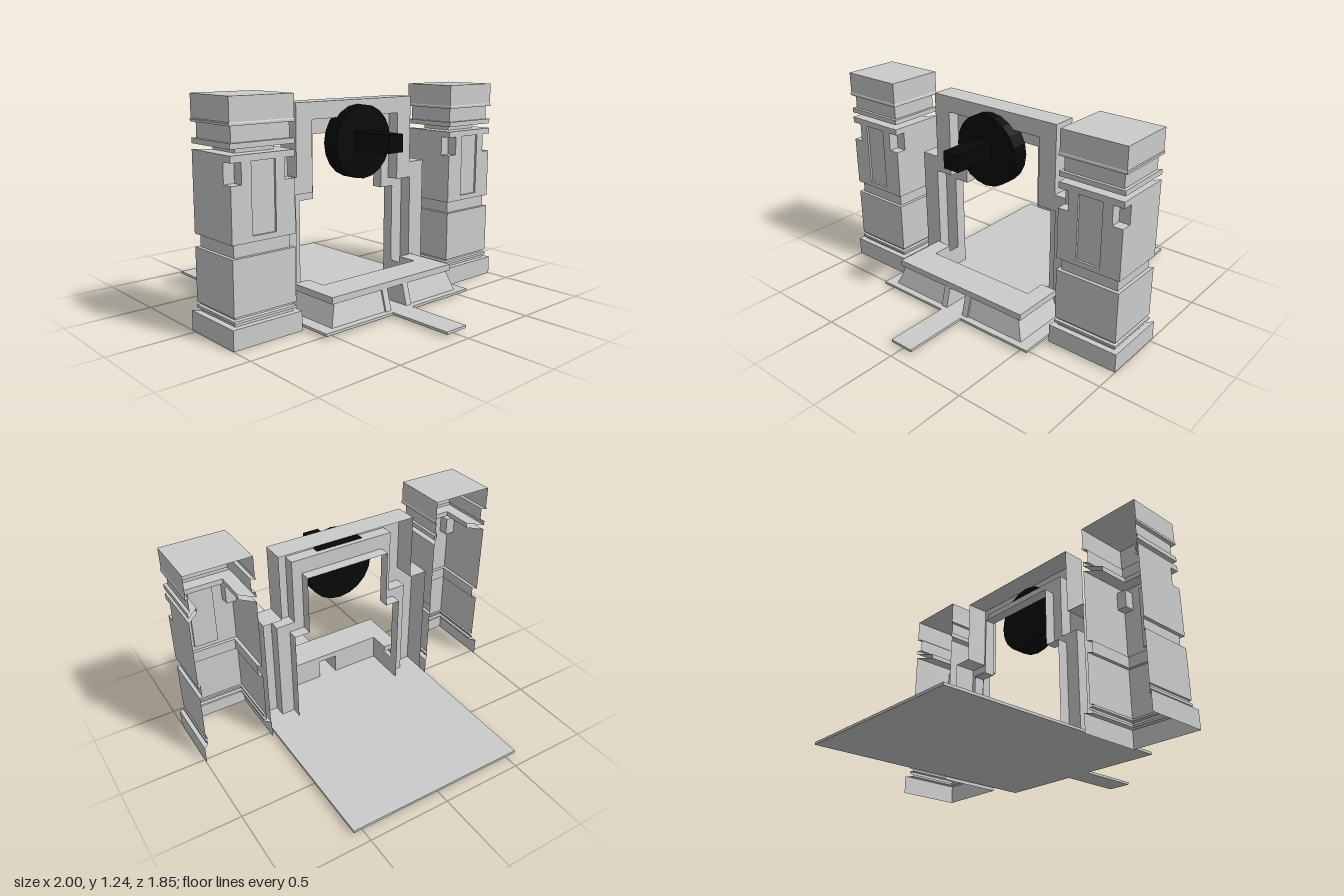
import * as THREE from 'three';

const grey = new THREE.MeshStandardMaterial({ color: 0xcccccc, side: THREE.DoubleSide, flatShading: true });
const black = new THREE.MeshStandardMaterial({ color: 0x080808, flatShading: true });

function add(parent, name, geometry, material = grey) {
  const mesh = new THREE.Mesh(geometry, material);
  mesh.name = name;
  parent.add(mesh);
  return mesh;
}

// Joins successive rows of [x, y, z] points with flat quads.
function loft(rows) {
  const pos = [];
  for (let r = 0; r < rows.length - 1; r++) {
    for (let i = 0; i < rows[r].length - 1; i++) {
      const a = rows[r][i], b = rows[r][i + 1], c = rows[r + 1][i + 1], d = rows[r + 1][i];
      pos.push(...a, ...b, ...c, ...a, ...c, ...d);
    }
  }
  const g = new THREE.BufferGeometry();
  g.setAttribute('position', new THREE.Float32BufferAttribute(pos, 3));
  g.computeVertexNormals();
  return g;
}

const outline = (pts) => new THREE.Shape(pts.map(([x, y]) => new THREE.Vector2(x, y)));

// Flat plate from an [x, z] outline.
function plate(pts, y0, y1) {
  const g = new THREE.ExtrudeGeometry(outline(pts.map(([x, z]) => [x, -z])), { depth: y1 - y0, bevelEnabled: false });
  return g.rotateX(-Math.PI / 2).translate(0, y0, 0);
}

// Hollow pillar, open at the back and underneath.
function createPillar() {
  const pillar = new THREE.Group();
  const w = 0.192, h = 0.173, n = 0.062;
  const ring = ([d, y]) => [[w + d, y, -h - d], [w + d, y, h + d], [-w - d, y, h + d], [-w - d, y, -h - d]];

  // Stepped mouldings: [offset from shaft, height]
  const lower = [[0.0215, 0], [0.0215, 0.11], [-0.012, 0.11], [-0.012, 0.123], [0.002, 0.128], [0.002, 0.142],
    [-0.012, 0.147], [-0.012, 0.16], [0, 0.16], [0, 0.455], [-0.02, 0.455], [-0.02, 0.525], [0, 0.525]];
  const upper = [[0, 0.96], [-0.075, 0.96], [-0.075, 0.99], [0, 0.99], [0, 1.018], [-0.018, 1.018], [-0.018, 1.1],
    [0.003, 1.1], [0.003, 1.112], [0, 1.117], [0, 1.24]];
  add(pillar, 'pillarBase', loft(lower.map(ring)));
  add(pillar, 'pillarCapital', loft(upper.map(ring)));
  add(pillar, 'pillarTop', loft([[[-w, 1.24, -h], [w, 1.24, -h]], [[-w, 1.24, h], [w, 1.24, h]]]));

  // Upper block: front wall with panel opening and corner notches
  const y0 = 0.525, y1 = 0.96, n0 = 0.815, n1 = 0.925;
  const front = outline([[-w, y0], [w, y0], [w, n0], [w - n, n0], [w - n, n1], [w, n1], [w, y1],
    [-w, y1], [-w, n1], [n - w, n1], [n - w, n0], [-w, n0]]);
  const panel = [[-0.072, 0.555], [-0.072, n1], [0.072, n1], [0.072, 0.555], [-0.072, 0.555]];
  front.holes.push(new THREE.Path(panel.map(([x, y]) => new THREE.Vector2(x, y))));
  add(pillar, 'blockFront', new THREE.ShapeGeometry(front)).position.z = h;
  add(pillar, 'recessedPanel', loft([
    panel.map(([x, y]) => [x, y, h]),
    panel.map(([x, y]) => [x, y, h - 0.012]),
    panel.map(() => [0, 0.74, h - 0.012]),
  ]));
  const side = outline([[-h, y0], [h, y0], [h, n0], [h - n, n0], [h - n, n1], [h, n1], [h, y1], [-h, y1]]);
  for (const s of [-1, 1]) {
    add(pillar, 'blockSide', new THREE.ShapeGeometry(side).rotateY(-Math.PI / 2)).position.x = s * w;
    const corner = (y) => [0, 1, 2].map(() => [s * w, y, h]);
    const inside = (y) => [[s * w, y, h - n], [s * (w - n), y, h - n], [s * (w - n), y, h]];
    add(pillar, 'cornerNotch', loft([corner(n0), inside(n0), inside(n1), corner(n1)]));
  }
  return pillar;
}

// Stepped doorway shell, open at the back.
function createArch() {
  const contour = (x0, yStep, x1, yTop, yBase, z) => [[-x0, yBase, z], [-x0, yStep, z], [-x1, yStep, z], [-x1, yTop, z],
    [x1, yTop, z], [x1, yStep, z], [x0, yStep, z], [x0, yBase, z]];
  const outer = (z) => contour(0.557, 0.775, 0.44, 1.175, 0.015, z);
  const middle = (z) => contour(0.445, 0.68, 0.33, 1.08, 0.015, z);
  const inner = (z) => contour(0.363, 0.625, 0.268, 0.99, 0.015, z);
  return loft([outer(0.013), outer(0.153), middle(0.153), middle(0.08), inner(0.08), inner(0.013)]);
}

// Sloped step in front of the doorway, with a channel through its middle.
function createPlatform() {
  const platform = new THREE.Group();
  add(platform, 'platformTop', plate([[-0.465, 0.153], [-0.465, 0.475], [0.465, 0.475], [0.465, 0.153],
    [0.363, 0.153], [0.363, 0.28], [-0.363, 0.28], [-0.363, 0.153]], 0.15, 0.187));
  for (const s of [-1, 1]) {
    const row = (x, z, y) => [[s * 0.06, y, z], [s * x, y, z], [s * x, y, 0.153]];
    add(platform, 'slopedWall', loft([row(0.485, 0.495, 0.03), row(0.44, 0.46, 0.15)]));
    // Inner wall continuing the doorway jamb, then the channel side
    const innerRow = (y) => [[s * 0.363, y, 0.013], [s * 0.363, y, 0.28], [s * 0.06, y, 0.28], [s * 0.06, y, 0.46]];
    add(platform, 'innerWall', loft([innerRow(0.03), innerRow(0.15)]));
    // Cheek beside the channel mouth
    const cheek = (z, y) => [[s * 0.06, y, 0.44], [s * 0.06, y, z], [s * 0.1, y, z], [s * 0.1, y, 0.44]];
    add(platform, 'channelCheek', loft([cheek(0.505, 0.03), cheek(0.472, 0.15)]));
  }
  return platform;
}

export function createModel() {
  const model = new THREE.Group();
  model.name = 'gateway';

  // Thin floor with a path running forward
  add(model, 'floor', plate([[-0.557, -0.925], [-0.557, 0.535], [-0.075, 0.535], [-0.075, 0.922],
    [0.075, 0.922], [0.075, 0.535], [0.557, 0.535], [0.557, -0.925]], 0.015, 0.03));

  for (const s of [-1, 1]) {
    const pillar = createPillar();
    pillar.name = s > 0 ? 'leftPillar' : 'rightPillar';
    pillar.position.set(s * 0.7855, 0, 0.163);
    model.add(pillar);
  }

  add(model, 'arch', createArch());

  const platform = createPlatform();
  platform.name = 'platform';
  model.add(platform);

  // Round disc with a square bar projecting from it
  const disc = add(model, 'disc', new THREE.CylinderGeometry(0.21, 0.21, 0.1, 20).rotateX(Math.PI / 2), black);
  disc.position.set(0, 0.938, 0.161);
  const bar = add(model, 'bar', new THREE.BoxGeometry(0.105, 0.1, 0.28), black);
  bar.position.set(-0.012, 0.952, 0.338);

  return model;
}
